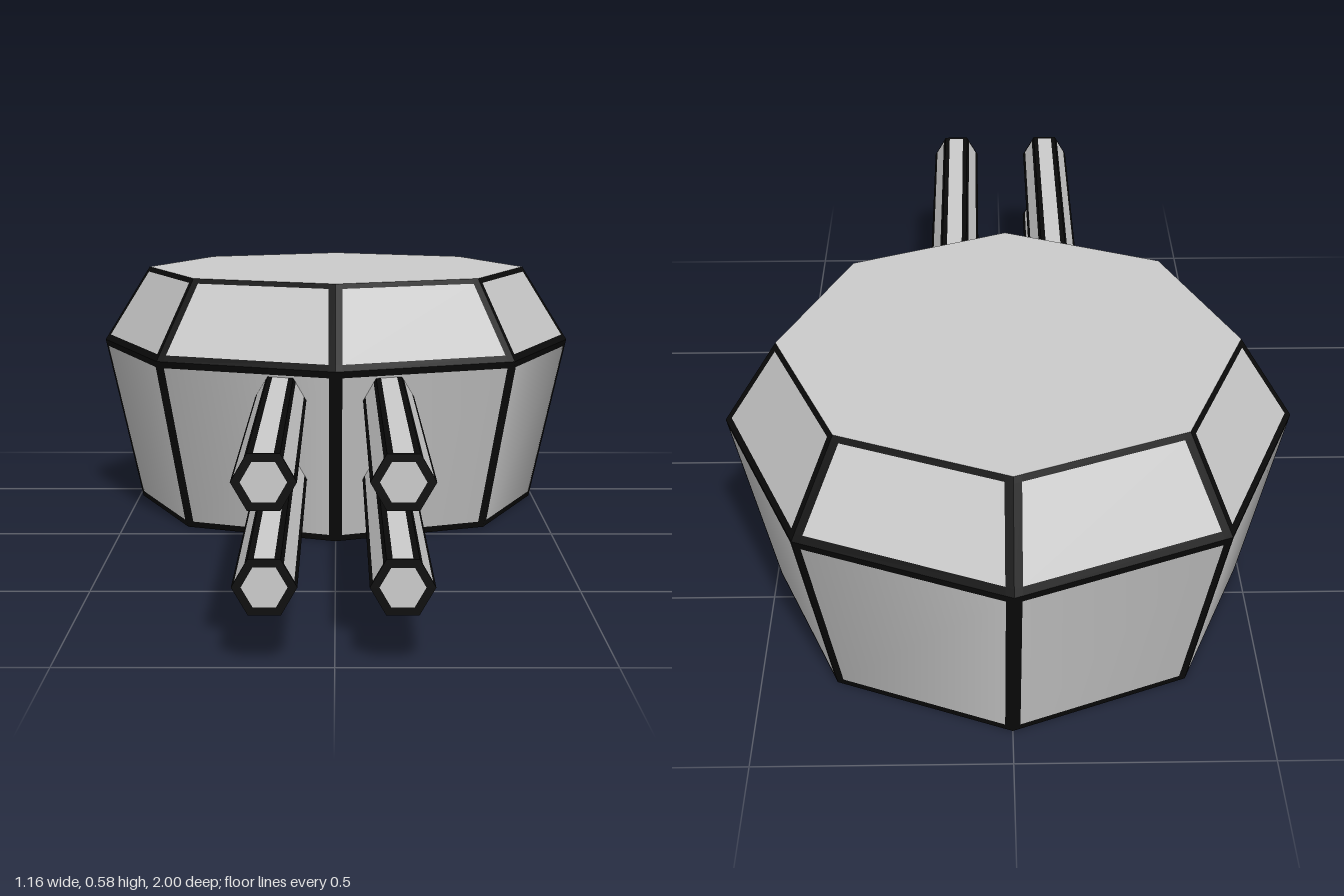
import * as THREE from 'three';

const grey = new THREE.MeshStandardMaterial({ color: 0xcccccc });
grey.name = 'light grey panel';
const black = new THREE.MeshStandardMaterial({ color: 0x0a0a0a });
black.name = 'black trim';

// Ring of flat faces around y; each face is a grey panel inside a black frame.
function framedBand({ sides, start, r0, y0, r1, y1, edge, bottom, top, smooth }) {
  const panels = { pos: [], nor: [] }, frame = { pos: [], nor: [] };
  const slope = (r0 - r1) / (y1 - y0);
  const normalAt = (a, k) => new THREE.Vector3(Math.sin(a), slope * k, Math.cos(a)).normalize();
  const step = (Math.PI * 2) / sides;
  const height = y1 - y0;
  for (let s = 0; s < sides; s++) {
    const a = start + s * step, b = a + step;
    const flat = normalAt(a + step / 2, 1 / Math.cos(step / 2) * Math.cos(step / 2) ** 2);
    const na = smooth ? normalAt(a, 1) : flat, nb = smooth ? normalAt(b, 1) : flat;
    const rows = [0, bottom / height, 1 - top / height, 1].map((v) => {
      const r = r0 + (r1 - r0) * v;
      const inset = edge / (2 * r * Math.sin(step / 2));
      const pa = new THREE.Vector3(r * Math.sin(a), y0 + height * v, r * Math.cos(a));
      const pb = new THREE.Vector3(r * Math.sin(b), y0 + height * v, r * Math.cos(b));
      return [0, inset, 1 - inset, 1].map((u) => ({
        p: pa.clone().lerp(pb, u),
        n: na.clone().lerp(nb, u).normalize(),
      }));
    });
    for (let j = 0; j < 3; j++) for (let i = 0; i < 3; i++) {
      const out = i === 1 && j === 1 ? panels : frame;
      const c = [rows[j][i], rows[j][i + 1], rows[j + 1][i + 1], rows[j + 1][i]];
      for (const k of [0, 1, 2, 0, 2, 3]) {
        out.pos.push(...c[k].p.toArray());
        out.nor.push(...c[k].n.toArray());
      }
    }
  }
  const geo = new THREE.BufferGeometry();
  geo.setAttribute('position', new THREE.Float32BufferAttribute([...panels.pos, ...frame.pos], 3));
  geo.setAttribute('normal', new THREE.Float32BufferAttribute([...panels.nor, ...frame.nor], 3));
  geo.addGroup(0, panels.pos.length / 3, 0);
  geo.addGroup(panels.pos.length / 3, frame.pos.length / 3, 1);
  return geo;
}

function addMesh(parent, name, geometry, material) {
  const mesh = new THREE.Mesh(geometry, material);
  mesh.name = name;
  parent.add(mesh);
  return mesh;
}

export function createModel() {
  const model = new THREE.Group();
  model.name = 'gunTurret';

  // Octagonal housing: flared wall, sloped shoulder, plain roof and floor
  const housing = new THREE.Group();
  housing.name = 'housing';
  housing.position.z = -0.42;
  model.add(housing);
  addMesh(housing, 'wall', framedBand({
    sides: 8, start: 0, r0: 0.492, y0: 0, r1: 0.58, y1: 0.402,
    edge: 0.016, bottom: 0.014, top: 0.015, smooth: true,
  }), [grey, black]);
  addMesh(housing, 'shoulder', framedBand({
    sides: 8, start: 0, r0: 0.58, y0: 0.402, r1: 0.466, y1: 0.585,
    edge: 0.017, bottom: 0.014, top: 0.011, smooth: false,
  }), [grey, black]);
  const roof = addMesh(housing, 'roof', new THREE.CircleGeometry(0.466, 8), grey);
  roof.rotation.x = -Math.PI / 2;
  roof.position.y = 0.585;
  const floor = addMesh(housing, 'floor', new THREE.CircleGeometry(0.492, 8), grey);
  floor.rotation.x = Math.PI / 2;

  // Four hexagonal barrels
  const back = -0.05, tip = 1, radius = 0.058, tipRadius = 0.041;
  const tube = framedBand({
    sides: 6, start: Math.PI / 6, r0: radius, y0: back, r1: radius, y1: tip,
    edge: 0.011, bottom: 0.008, top: 0.008, smooth: false,
  });
  const rim = new THREE.RingGeometry(tipRadius, radius, 6);
  const muzzle = new THREE.CircleGeometry(tipRadius, 6);
  for (const x of [-0.123, 0.119]) for (const y of [0.145, 0.332]) {
    const barrel = new THREE.Group();
    barrel.name = (y > 0.2 ? 'upper' : 'lower') + (x > 0 ? 'Left' : 'Right') + 'Barrel';
    barrel.position.set(x, y, 0);
    addMesh(barrel, 'barrelTube', tube, [grey, black]).rotation.x = Math.PI / 2;
    addMesh(barrel, 'muzzleRim', rim, black).position.z = tip;
    addMesh(barrel, 'muzzleFace', muzzle, grey).position.z = tip;
    model.add(barrel);
  }
  return model;
}
